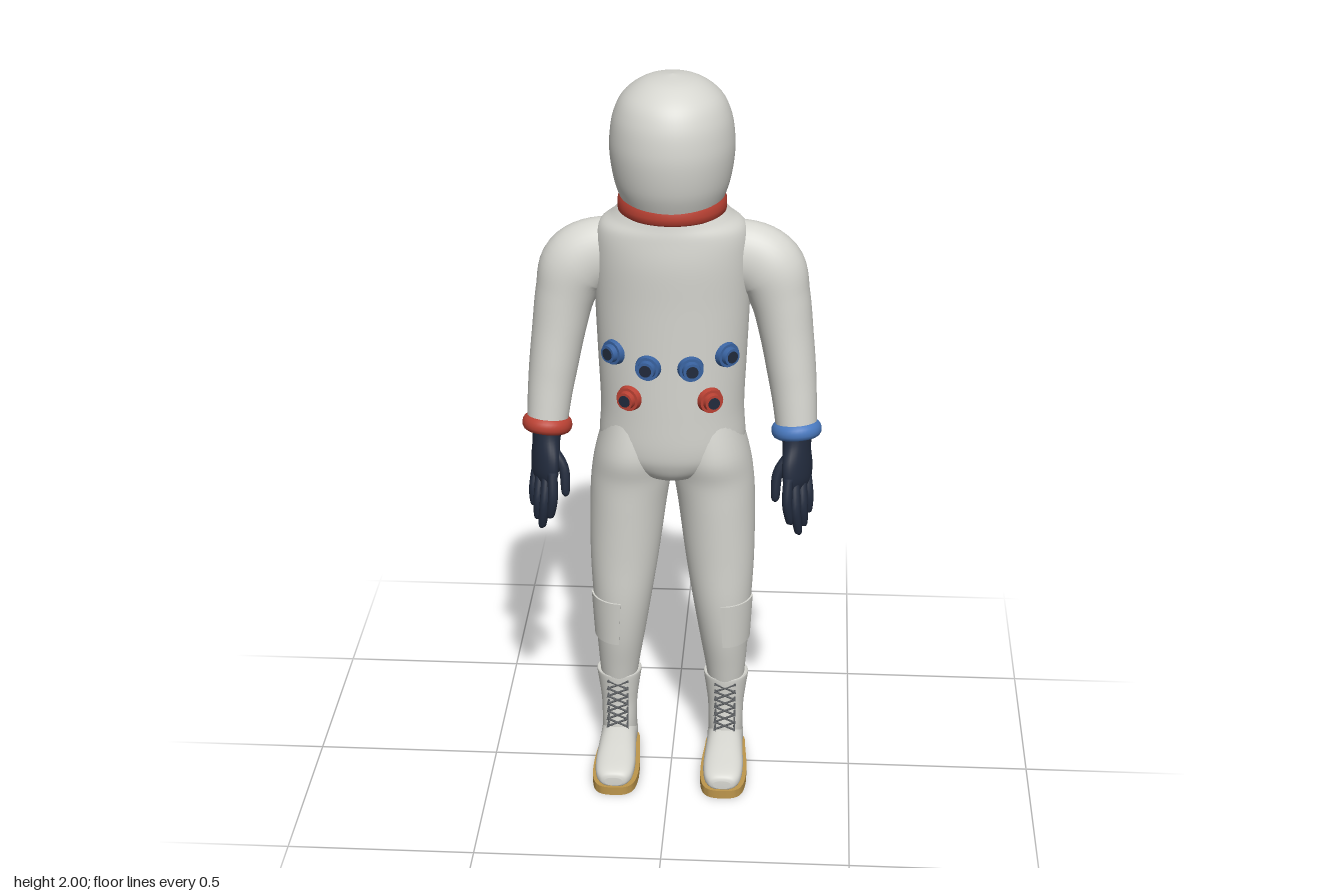
import * as THREE from 'three';
import { toCreasedNormals } from 'three/addons/utils/BufferGeometryUtils.js';

const V = (x, y, z) => new THREE.Vector3(x, y, z);
const mat = (name, color) => {
  const m = new THREE.MeshStandardMaterial({ color });
  m.name = name;
  return m;
};
const Z = V(0, 0, 1), Y = V(0, 1, 0), DOWN = V(0, -1, 0);

// Smooth value through a list of stations [x, y, z, radiusU, radiusV]
function sample(st, t) {
  const f = t * (st.length - 1), i = Math.min(Math.floor(f), st.length - 2), k = f - i;
  const at = j => st[Math.max(0, Math.min(st.length - 1, j))];
  return at(i).map((b, c) => {
    const a = at(i - 1)[c], d = at(i + 1)[c], e = at(i + 2)[c];
    return b + 0.5 * k * (d - a + k * (2 * a - 5 * b + 4 * d - e + k * (3 * (b - d) + e - a)));
  });
}

// Closed skin of superelliptic rings along stations; rings face the path unless an axis
// (pointing from the first station to the last) is given
function loft(st, { ref = Z, axis = null, power = 2, sides = 40, steps = 6 } = {}) {
  const rows = (st.length - 1) * steps, pos = [], idx = [];
  const centre = t => V(...sample(st, t).slice(0, 3));
  const bend = x => Math.sign(x) * Math.pow(Math.abs(x), 2 / power);
  for (let i = 0; i <= rows; i++) {
    const t = i / rows, s = sample(st, t);
    const T = axis ? axis.clone()
      : centre(Math.min(1, t + 0.01)).sub(centre(Math.max(0, t - 0.01))).normalize();
    const v = ref.clone().addScaledVector(T, -ref.dot(T)).normalize();
    const u = T.clone().cross(v);
    for (let j = 0; j < sides; j++) {
      const a = j / sides * Math.PI * 2;
      const p = V(s[0], s[1], s[2])
        .addScaledVector(u, s[3] * bend(Math.cos(a))).addScaledVector(v, s[4] * bend(Math.sin(a)));
      pos.push(p.x, p.y, p.z);
    }
  }
  for (let i = 0; i < rows; i++) for (let j = 0; j < sides; j++) {
    const n = (j + 1) % sides, a = i * sides + j, d = i * sides + n;
    idx.push(a, a + sides, d, a + sides, d + sides, d);
  }
  const first = pos.length / 3, top = rows * sides;
  pos.push(...st[0].slice(0, 3), ...st[st.length - 1].slice(0, 3));
  for (let j = 0; j < sides; j++) {
    const n = (j + 1) % sides;
    idx.push(first, j, n, first + 1, top + n, top + j);
  }
  const g = new THREE.BufferGeometry();
  g.setAttribute('position', new THREE.Float32BufferAttribute(pos, 3));
  g.setIndex(idx);
  g.computeVertexNormals();
  return g;
}

export function createModel() {
  const root = new THREE.Group();
  root.name = 'spacesuit';
  const white = mat('suitWhite', 0xd6d6d0), red = mat('red', 0xbb4234);
  const blue = mat('cuffBlue', 0x4a7ac0), portBlue = mat('connectorBlue', 0x3a64a2);
  const navy = mat('gloveNavy', 0x222b3d), tan = mat('soleTan', 0xbd964c), grey = mat('laceGrey', 0x5c5f62);
  const add = (name, geo, m, parent = root) => {
    const mesh = new THREE.Mesh(geo, m);
    mesh.name = name;
    parent.add(mesh);
    return mesh;
  };
  const rod = (name, pts, r, m, parent) =>
    add(name, new THREE.TubeGeometry(new THREE.CatmullRomCurve3(pts), 6, r, 6), m, parent);

  // Torso, closing into the pelvis
  add('torso', loft([
    [0, 0.885, -0.045, 0.04, 0.06], [0, 0.91, -0.045, 0.11, 0.112], [0, 0.95, -0.042, 0.178, 0.135],
    [0, 1.0, -0.041, 0.195, 0.145], [0, 1.1, -0.039, 0.191, 0.146], [0, 1.25, -0.037, 0.197, 0.146],
    [0, 1.4, -0.039, 0.203, 0.151], [0, 1.52, -0.039, 0.204, 0.155], [0, 1.595, -0.037, 0.194, 0.147],
    [0, 1.63, -0.033, 0.157, 0.137], [0, 1.665, -0.028, 0.124, 0.126],
  ], { axis: Y, sides: 56 }), white);

  // Helmet and neck ring
  const dome = new THREE.SplineCurve([[0.128, 1.665], [0.148, 1.72], [0.159, 1.785], [0.16, 1.84], [0.15, 1.9],
    [0.124, 1.95], [0.071, 1.987], [0, 2]].map(p => new THREE.Vector2(...p)));
  const helmet = add('helmet', new THREE.LatheGeometry(dome.getPoints(36), 56), white);
  helmet.scale.z = 1.07;
  helmet.position.z = -0.027;
  const band = [[0.118, 1.64], [0.134, 1.64], [0.14, 1.646], [0.141, 1.66], [0.14, 1.676],
    [0.136, 1.684], [0.118, 1.686]].map(p => new THREE.Vector2(...p));
  add('neckRing', toCreasedNormals(new THREE.LatheGeometry(band, 56), 0.9), red).position.z = -0.026;

  // Chest connectors, facing out along the torso surface
  for (const [x, y, m] of [[0.145, 1.275, portBlue], [0.055, 1.25, portBlue], [0.105, 1.155, red]]) {
    for (const s of [1, -1]) {
      const k = x / 0.195, z = 0.146 * Math.sqrt(1 - k * k);
      const port = new THREE.Group();
      port.name = 'chestConnector';
      port.position.set(s * x, y, z - 0.038);
      port.quaternion.setFromUnitVectors(Y, V(s * x / 0.038, 0, z / 0.0213).normalize());
      const disc = (name, r0, r1, h, at, mm) =>
        add(name, new THREE.CylinderGeometry(r1, r0, h, 24), mm, port).position.y = at;
      disc('connectorFlange', 0.035, 0.032, 0.016, 0.006, m);
      disc('connectorCollar', 0.025, 0.023, 0.016, 0.02, m);
      disc('connectorCentre', 0.016, 0.016, 0.006, 0.027, navy);
      root.add(port);
    }
  }

  for (const s of [1, -1]) {
    const side = s > 0 ? 'left' : 'right';
    const flip = st => st.map(([x, ...r]) => [s * x, ...r]);
    const P = (x, y, z) => V(s * x, y, z);

    // Sleeve and cuff
    add(side + 'Arm', loft(flip([
      [0.08, 1.5, -0.045, 0.09, 0.07], [0.18, 1.51, -0.045, 0.097, 0.072], [0.25, 1.477, -0.044, 0.096, 0.08],
      [0.281, 1.4, -0.043, 0.08, 0.079], [0.3, 1.3, -0.038, 0.071, 0.077], [0.315, 1.2, -0.026, 0.065, 0.072],
      [0.325, 1.12, -0.01, 0.059, 0.062], [0.332, 1.04, 0.004, 0.054, 0.055],
    ])), white);
    const cuff = add(side + 'Cuff', new THREE.TorusGeometry(0.051, 0.016, 14, 40), s > 0 ? blue : red);
    cuff.position.copy(P(0.332, 1.04, 0.004));
    cuff.quaternion.setFromUnitVectors(Z, P(0.09, -1, 0.2).normalize());
    cuff.scale.z = 1.35;

    // Glove: palm, fingers and thumb
    const glove = new THREE.Group();
    glove.name = side + 'Glove';
    root.add(glove);
    add('palm', loft(flip([
      [0.332, 1.045, 0.004, 0.044, 0.044], [0.334, 1.0, 0.018, 0.034, 0.042], [0.336, 0.95, 0.034, 0.028, 0.052],
      [0.337, 0.91, 0.043, 0.024, 0.05], [0.338, 0.885, 0.048, 0.014, 0.04],
    ]), { ref: P(-0.65, 0, 0.75), sides: 24 }), navy, glove);
    const digits = [
      ['indexFinger', [0.314, 0.925, 0.073], [0.312, 0.86, 0.09], [0.32, 0.805, 0.084], 0.0135],
      ['middleFinger', [0.331, 0.915, 0.056], [0.335, 0.84, 0.084], [0.343, 0.775, 0.079], 0.0135],
      ['ringFinger', [0.349, 0.915, 0.037], [0.354, 0.845, 0.064], [0.357, 0.79, 0.06], 0.013],
      ['littleFinger', [0.363, 0.92, 0.02], [0.37, 0.865, 0.038], [0.37, 0.82, 0.038], 0.0115],
      ['thumb', [0.322, 0.99, 0.04], [0.286, 0.935, 0.055], [0.28, 0.868, 0.068], 0.014],
    ];
    for (const [name, a, b, c, r] of digits) {
      add(name, loft(flip([[...a, r, r], [...b, r, r], [...c, r * 0.8, r * 0.8],
        [c[0], c[1] - 0.009, c[2], 0.002, 0.002]]), { sides: 12, steps: 5 }), navy, glove);
    }

    // Trouser leg
    add(side + 'Leg', loft(flip([
      [0.095, 1.08, -0.04, 0.08, 0.115], [0.104, 0.97, -0.043, 0.101, 0.134], [0.111, 0.89, -0.047, 0.108, 0.124],
      [0.12, 0.8, -0.045, 0.104, 0.116], [0.13, 0.65, -0.033, 0.094, 0.096], [0.137, 0.52, -0.03, 0.081, 0.088],
      [0.143, 0.4, -0.04, 0.068, 0.084], [0.148, 0.3, -0.043, 0.056, 0.066], [0.15, 0.23, -0.046, 0.048, 0.054],
    ]), { axis: DOWN }), white);

    // Knee patch: a box bent round the front outer side of the leg
    const patch = new THREE.BoxGeometry(1, 1, 1, 14, 4, 1), pp = patch.attributes.position;
    for (let i = 0; i < pp.count; i++) {
      const k = pp.getY(i) + 0.5, off = pp.getZ(i) > 0 ? 0.005 : -0.008;
      const a = (s > 0 ? 0.27 : 0.73) * Math.PI - pp.getX(i) * 1.45;
      pp.setXYZ(i, s * (0.143 - 0.006 * k) + (0.068 + 0.013 * k + off) * Math.cos(a), 0.39 + 0.135 * k,
        -0.04 + 0.01 * k + (0.083 + 0.005 * k + off) * Math.sin(a));
    }
    patch.computeVertexNormals();
    add(side + 'KneePatch', patch, white);

    // Boot: shaft, foot, sole
    const boot = new THREE.Group();
    boot.name = side + 'Boot';
    boot.position.x = s * 0.15;
    root.add(boot);
    add('bootShaft', loft([
      [0, 0.06, -0.045, 0.048, 0.066], [0, 0.11, -0.044, 0.048, 0.064], [0, 0.17, -0.047, 0.05, 0.058],
      [0, 0.22, -0.048, 0.056, 0.06], [0, 0.264, -0.048, 0.062, 0.063], [0, 0.267, -0.048, 0.058, 0.059],
    ], { axis: Y }), white, boot);
    add('bootFoot', loft([
      [0, 0.055, -0.122, 0.025, 0.025], [0, 0.056, -0.112, 0.042, 0.036], [0, 0.058, -0.06, 0.05, 0.044],
      [0, 0.062, 0.0, 0.05, 0.048], [0, 0.058, 0.06, 0.053, 0.042], [0, 0.051, 0.12, 0.055, 0.034],
      [0, 0.045, 0.165, 0.05, 0.027], [0, 0.041, 0.186, 0.038, 0.021], [0, 0.038, 0.192, 0.024, 0.012],
    ], { axis: Z, ref: Y, power: 2.5 }), white, boot);
    const outline = new THREE.Shape();
    outline.moveTo(0, 0.2);
    outline.bezierCurveTo(0.045, 0.2, 0.06, 0.185, 0.064, 0.11);
    outline.bezierCurveTo(0.066, 0.03, 0.058, 0, 0.056, -0.06);
    outline.bezierCurveTo(0.055, -0.105, 0.03, -0.117, 0, -0.117);
    outline.bezierCurveTo(-0.03, -0.117, -0.055, -0.105, -0.056, -0.06);
    outline.bezierCurveTo(-0.058, 0, -0.066, 0.03, -0.064, 0.11);
    outline.bezierCurveTo(-0.06, 0.185, -0.045, 0.2, 0, 0.2);
    const sole = new THREE.ExtrudeGeometry(outline, { depth: 0.024, bevelEnabled: false, curveSegments: 10 });
    sole.rotateX(Math.PI / 2).translate(0, 0.024, 0);
    add('sole', toCreasedNormals(sole, 0.6), tan, boot);

    // Crossed laces on small hooks
    const rows = 7, at = i => [0.12 + 0.022 * i, 0.046 - 0.004 * i];
    for (let i = 0; i < rows; i++) {
      const [y, z] = at(i), [y2, z2] = at(i + 1);
      for (const d of [1, -1]) {
        rod('laceHook', [V(d * 0.026, y, -0.002), V(d * 0.028, y, z)], 0.003, grey, boot);
        if (i < rows - 1) {
          rod('lace', [V(d * 0.028, y, z - 0.012), V(-d * 0.028, y2, z2 - 0.012)], 0.0028, grey, boot);
        }
      }
    }
  }
  return root;
}
